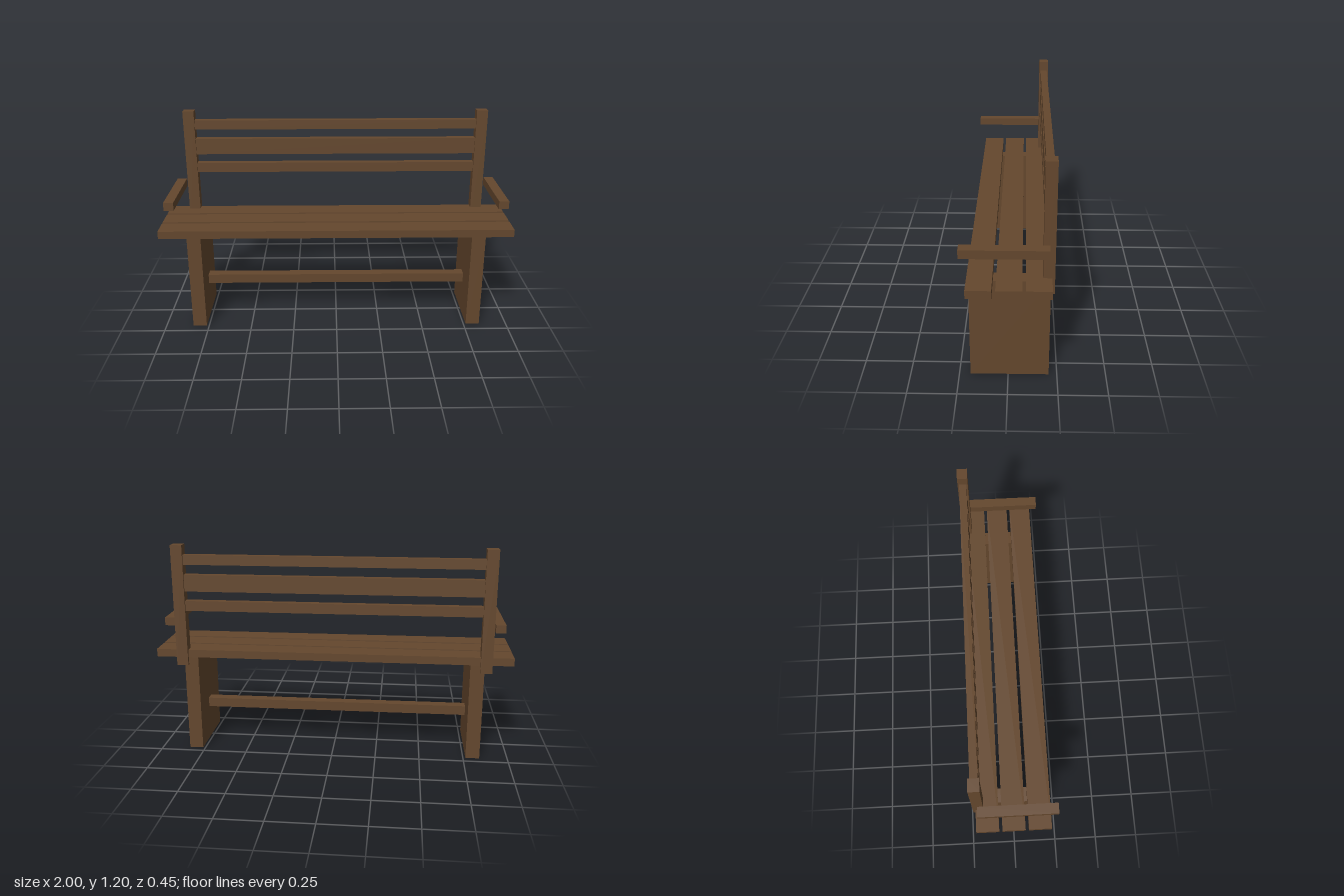
import * as THREE from 'three';

export function createModel() {
  const bench = new THREE.Group();
  bench.name = 'bench';

  const wood = new THREE.MeshStandardMaterial({ color: 0x64472d, side: THREE.DoubleSide });
  wood.name = 'brown wood';

  // A beam given by its [min, max] extent on each axis
  function beam(name, [x0, x1], [y0, y1], [z0, z1]) {
    const geometry = new THREE.BoxGeometry(x1 - x0, y1 - y0, z1 - z0);
    const mesh = new THREE.Mesh(geometry, wood);
    mesh.name = name;
    mesh.position.set((x0 + x1) / 2, (y0 + y1) / 2, (z0 + z1) / 2);
    bench.add(mesh);
    return mesh;
  }

  // Three seat planks, front to back
  [[0.073, 0.197], [-0.07, 0.055], [-0.211, -0.087]].forEach((z, i) =>
    beam(`seatPlank${i + 1}`, [-1, 1], [0.557, 0.601], z));

  // Three back rails, top to bottom, the middle one broader
  [[1.088, 1.142], [0.939, 1.032], [0.829, 0.885]].forEach((y, i) =>
    beam(`backRail${i + 1}`, [-0.818, 0.818], y, [-0.216, -0.176]));

  // Stretcher between the leg panels
  beam('stretcher', [-0.764, 0.764], [0.193, 0.247], [-0.035, 0.021]);

  // Mirrored ends: leg panel, back post and armrest
  for (const [side, s] of [['left', 1], ['right', -1]]) {
    const span = (a, b) => (s > 0 ? [a, b] : [-b, -a]);

    const leg = beam(`${side}LegPanel`, span(0.764, 0.842), [0, 0.557], [-0.208, 0.193]);
    // The panel is hollow and open underneath: drop its bottom face
    const index = Array.from(leg.geometry.index.array);
    index.splice(18, 6);
    leg.geometry.setIndex(index);
    leg.geometry.clearGroups();

    beam(`${side}BackPost`, span(0.818, 0.882), [0.514, 1.196], [-0.225, -0.168]);
    beam(`${side}Armrest`, span(0.891, 0.946), [0.738, 0.783], [-0.197, 0.228]);
  }

  return bench;
}
